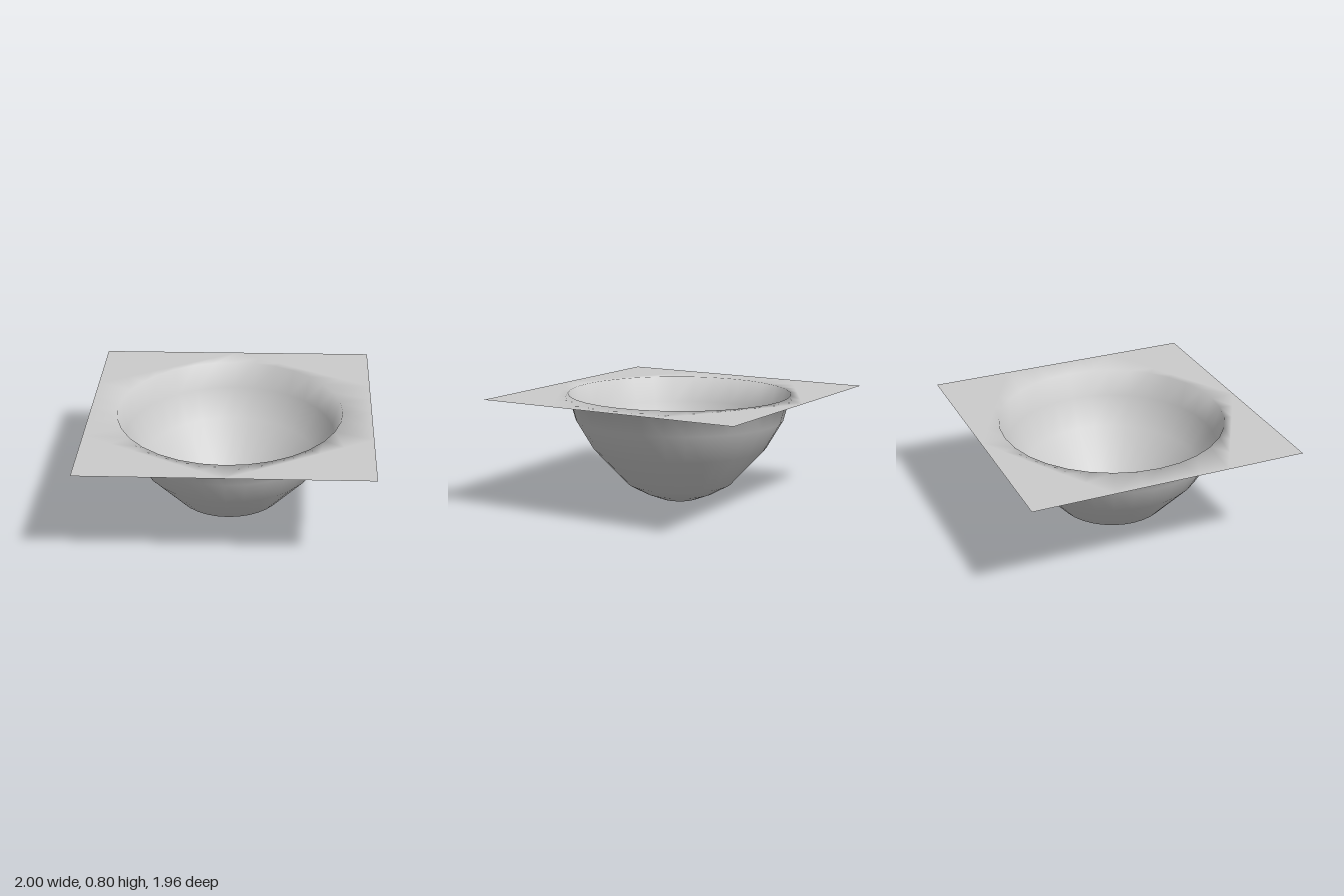
import * as THREE from 'three';

const SEGMENTS = 32;
const RIM_Y = 0.79;
const HALF_DEPTH = 0.98;
const TIP_Z = Math.tan(Math.PI / 8); // where the collar meets the side edges

// bowl profile from the bottom to the rim: [radius, height]
const PROFILE = [
  [0.001, 0], [0.135, 0.015], [0.26, 0.065], [0.385, 0.135],
  [0.63, 0.4], [0.75, 0.605], [0.8, RIM_Y],
];

// distance from the centre to the six-sided outline of the collar
function collarRadius(angle) {
  const c = Math.abs(Math.cos(angle)), s = Math.abs(Math.sin(angle));
  return Math.min(1 / Math.max(c, 1e-6), HALF_DEPTH / (s + (HALF_DEPTH - TIP_Z) * c));
}

// the whole piece rises slightly towards +x
function tilt(geometry) {
  const p = geometry.attributes.position;
  for (let i = 0; i < p.count; i++) p.setY(i, p.getY(i) + 0.0095 * p.getX(i));
  geometry.computeVertexNormals();
  return geometry;
}

// bowl and flat collar share their rim, so the shading flows over the edge
function bowlGeometry() {
  const positions = [], indices = [];
  const rings = PROFILE.length + 1;
  for (let i = 0; i < rings; i++) {
    for (let j = 0; j < SEGMENTS; j++) {
      const angle = (j / SEGMENTS) * Math.PI * 2;
      const onCollar = i === rings - 1;
      const r = onCollar ? collarRadius(angle) : PROFILE[i][0];
      const y = onCollar ? RIM_Y : PROFILE[i][1];
      const shift = onCollar ? 0 : -0.006;
      positions.push(r * Math.cos(angle) + shift, y, r * Math.sin(angle));
      if (i > 0) {
        const k = (j + 1) % SEGMENTS;
        const a = (i - 1) * SEGMENTS + j, b = (i - 1) * SEGMENTS + k;
        const c = i * SEGMENTS + j, d = i * SEGMENTS + k;
        indices.push(a, d, c, a, b, d);
      }
    }
  }
  const geometry = new THREE.BufferGeometry();
  geometry.setAttribute('position', new THREE.Float32BufferAttribute(positions, 3));
  geometry.setIndex(indices);
  return tilt(geometry);
}

// flat triangle that fills one corner of the sheet
function cornerGeometry(sx, sz) {
  const shape = new THREE.Shape([
    new THREE.Vector2(0, sz * HALF_DEPTH),
    new THREE.Vector2(sx, sz * TIP_Z),
    new THREE.Vector2(sx, sz * HALF_DEPTH),
  ]);
  const geometry = new THREE.ShapeGeometry(shape);
  geometry.rotateX(-Math.PI / 2).translate(0, RIM_Y, 0);
  return tilt(geometry);
}

export function createModel() {
  const model = new THREE.Group();
  model.name = 'sunkenBowl';
  const material = new THREE.MeshStandardMaterial({ color: 0xcccccc, side: THREE.DoubleSide });

  const bowl = new THREE.Mesh(bowlGeometry(), material);
  bowl.name = 'bowlWithCollar';
  model.add(bowl);

  // square sheet around the bowl
  const sheet = new THREE.Group();
  sheet.name = 'sheetCorners';
  for (const sx of [-1, 1]) {
    for (const sz of [-1, 1]) {
      const corner = new THREE.Mesh(cornerGeometry(sx, sz), material);
      corner.name = 'sheetCorner';
      sheet.add(corner);
    }
  }
  model.add(sheet);
  return model;
}
